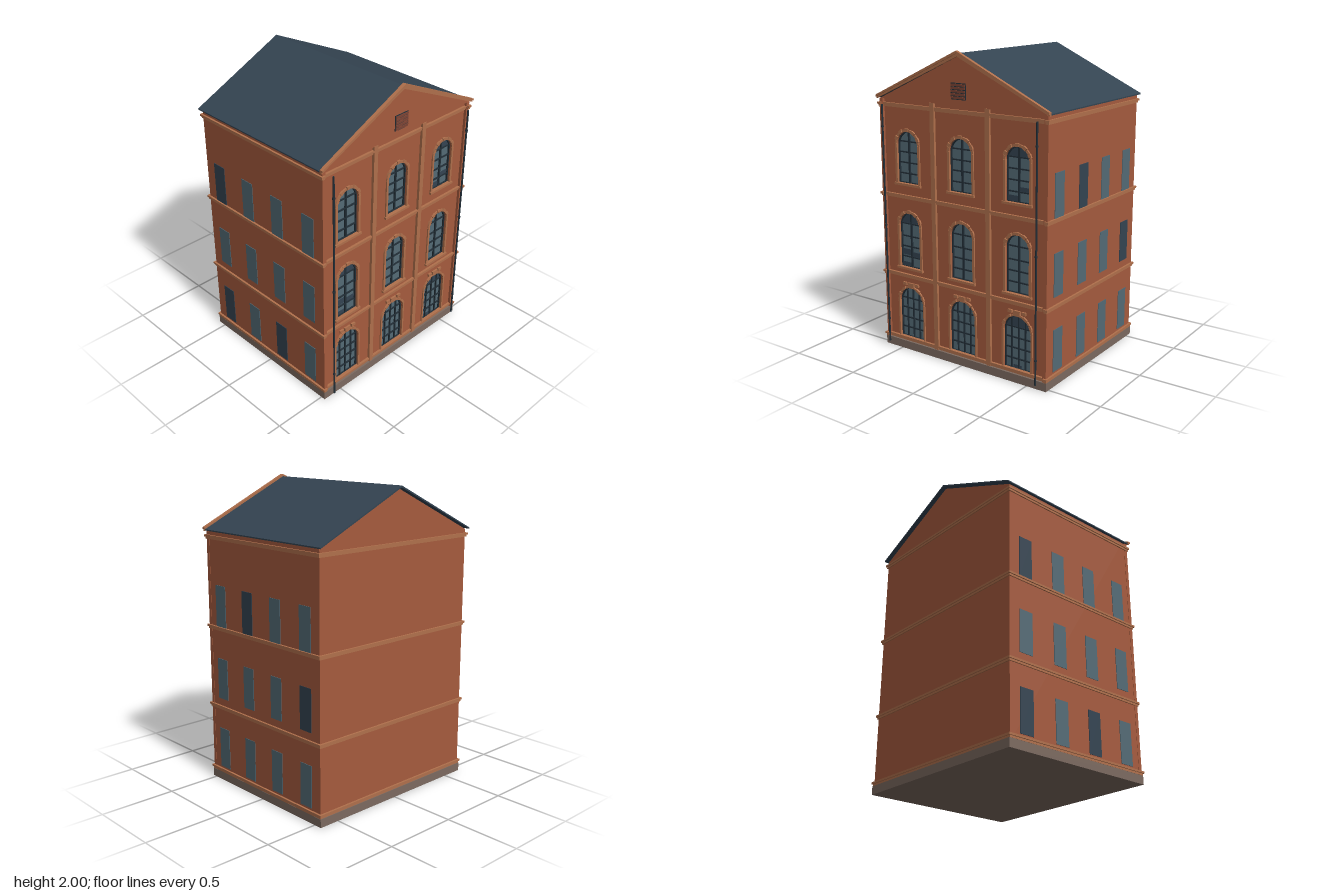
import * as THREE from 'three';

const mat = (name, color, side = THREE.FrontSide) => {
  const m = new THREE.MeshStandardMaterial({ color, side });
  m.name = name;
  return m;
};

export function createModel() {
  const brick = mat('brick', 0xa65b3e);
  const trim = mat('trim', 0xb0704c);
  const stone = mat('foundation stone', 0x7c6a60);
  const slate = mat('roof slate', 0x344452);
  const glass = mat('glass', 0x546b76);
  const darkGlass = mat('dark glass', 0x344452);
  const iron = mat('dark iron', 0x232f38);
  const ventRed = mat('vent', 0x7d4434);

  const model = new THREE.Group();
  model.name = 'brickBuilding';
  let target = model;

  const add = (name, geo, material) => {
    const m = new THREE.Mesh(geo, material);
    m.name = name;
    target.add(m);
    return m;
  };
  // Box given by its limits on each axis
  const box = (name, material, x0, x1, y0, y1, z0, z1) => {
    const m = add(name, new THREE.BoxGeometry(x1 - x0, y1 - y0, z1 - z0), material);
    m.position.set((x0 + x1) / 2, (y0 + y1) / 2, (z0 + z1) / 2);
    return m;
  };
  const poly = (pts) => new THREE.Shape(pts.map(([x, y]) => new THREE.Vector2(x, y)));
  const slab = (name, material, shape, z0, z1) => {
    const geo = new THREE.ExtrudeGeometry(shape, { depth: z1 - z0, bevelEnabled: false, curveSegments: 16 });
    geo.translate(0, 0, z0);
    return add(name, geo, material);
  };
  // Round-headed opening outline
  const arch = (cx, r, y0, spring, Type = THREE.Shape) => {
    const s = new Type();
    s.moveTo(cx - r, y0);
    s.lineTo(cx + r, y0);
    s.lineTo(cx + r, spring);
    s.absarc(cx, spring, r, 0, Math.PI, false);
    s.lineTo(cx - r, y0);
    return s;
  };

  // Window rows: half width, sill, arch spring, surround width, columns, transoms
  const rows = [
    { r: 0.1, y0: 0.075, spring: 0.33, edge: 0.012, cols: 4, bars: [0.143, 0.212, 0.281, 0.35] },
    { r: 0.085, y0: 0.57, spring: 0.855, edge: 0.016, cols: 2, bars: [0.64, 0.71, 0.78, 0.865] },
    { r: 0.085, y0: 1.135, spring: 1.388, edge: 0.016, cols: 2, bars: [1.2, 1.27, 1.338, 1.407] },
  ];
  const columns = [-0.425, 0, 0.42];
  const WALL = 0.508;

  // Foundation and main brick mass
  box('foundation', stone, -0.642, 0.642, 0, 0.055, -0.555, 0.53);
  slab('mainWalls', brick, poly([[-0.635, 0.03], [0.635, 0.03], [0.635, 1.672], [0, 1.967], [-0.635, 1.672]]), -0.545, 0.48);

  // Front wall with arched openings
  const front = poly([[-0.635, 0.03], [0.635, 0.03], [0.635, 1.672], [-0.635, 1.672]]);
  for (const w of rows) for (const cx of columns) front.holes.push(arch(cx, w.r, w.y0, w.spring, THREE.Path));
  slab('frontWall', brick, front, 0.48, WALL);
  slab('frontGable', brick, poly([[-0.635, 1.672], [0.635, 1.672], [0, 1.967]]), 0.48, 0.522);

  // Pilasters
  for (const s of [-1, 1]) {
    const c = s * 0.624, m = s * 0.21;
    box('cornerPilaster', brick, c - 0.013, c + 0.013, 0.055, 1.675, 0.5, 0.525);
    box('middlePilaster', trim, m - 0.016, m + 0.016, 0.055, 1.675, 0.5, 0.525);
  }

  // Stepped string courses around the building
  for (const y of [0.07, 0.515, 1.05, 1.637]) {
    for (const [dy, h, out] of [[0.005, 0.013, 0.0135], [-0.008, 0.013, 0.007]]) {
      const a = y + dy - h / 2, b = y + dy + h / 2;
      box('frontStringCourse', trim, -0.612, 0.612, a, b, 0.49, 0.51 + out);
      box('backStringCourse', trim, -0.635 - out, 0.635 + out, a, b, -0.545 - out, -0.53);
      for (const s of [-1, 1]) {
        const inner = s * 0.62, outer = s * (0.635 + out);
        box('sideStringCourse', trim, Math.min(inner, outer), Math.max(inner, outer), a, b, -0.54, 0.523 + out);
      }
    }
  }

  // Roof and front raking cornice
  const chevron = (hw, eave, ridge, t) => poly([[-hw, eave], [-hw, eave - t], [0, ridge - t * 1.4], [hw, eave - t], [hw, eave], [0, ridge]]);
  slab('roof', slate, chevron(0.65, 1.682, 1.985, 0.008), -0.57, 0.53);
  slab('rakingCornice', trim, chevron(0.653, 1.694, 2.0, 0.024), 0.522, 0.536);
  slab('rakingCorniceLip', trim, chevron(0.653, 1.694, 2.0, 0.012), 0.536, 0.545);

  // Arched front windows
  const addWindow = (w, row, col) => {
    const { r, y0, spring, edge, bars } = w, cx = columns[col];
    target = new THREE.Group();
    target.name = 'archedWindow';
    model.add(target);
    slab('windowGlass', glass, arch(cx, r, y0, spring), 0.481, 0.488);
    const frame = arch(cx, r, y0, spring);
    frame.holes.push(arch(cx, r - 0.007, y0 + 0.007, spring, THREE.Path));
    slab('windowFrame', iron, frame, 0.485, 0.5);
    // Glazing bars reach up to the curve of the arch
    for (let i = 1; i < w.cols; i++) {
      const x = -r + (2 * r * i) / w.cols;
      const t = w.cols === 2 ? 0.006 : 0.004;
      box('glazingBar', iron, cx + x - t, cx + x + t, y0, spring + Math.sqrt(r * r - x * x) - 0.003, 0.486, 0.498);
    }
    for (const y of bars) {
      const hw = y > spring ? Math.sqrt(r * r - (y - spring) ** 2) : r;
      box('transom', iron, cx - hw, cx + hw, y - 0.004, y + 0.004, 0.486, 0.497);
    }
    // Dark panes on one window in each row
    if (row + col === (row === 1 ? 1 : row === 0 ? 2 : 4)) {
      const head = new THREE.Shape();
      const a = Math.asin((bars[3] - spring) / r);
      head.absarc(cx, spring, r - 0.003, a, Math.PI - a, false);
      slab('darkFanlight', darkGlass, head, 0.486, 0.491);
      const panes = row === 0 ? [[-0.04, 0.02, 0.075, 0.1]]
        : row === 1 ? [[-r, 0, 0.575, 0.6], [-r, 0, 0.65, 0.69], [0, r, 0.645, 0.675]]
          : [[-r, 0, 1.14, 1.175], [0, r, 1.195, 1.23]];
      for (const [x0, x1, a0, a1] of panes) box('darkPane', darkGlass, cx + x0, cx + x1, a0, a1, 0.486, 0.491);
    }
    // Jambs, voussoirs and sill
    for (const s of [-1, 1]) {
      const x = cx + s * (r + edge / 2);
      box('jamb', trim, x - edge / 2, x + edge / 2, y0, spring, 0.5, 0.517);
    }
    const n = 11;
    for (let i = 0; i < n; i++) {
      const a0 = (Math.PI * i) / n + 0.012, a1 = (Math.PI * (i + 1)) / n - 0.012;
      const out = r + edge + (i % 2 ? 0.004 : 0);
      const v = new THREE.Shape();
      v.absarc(cx, spring, out, a0, a1, false);
      v.absarc(cx, spring, r, a1, a0, true);
      slab('voussoir', trim, v, 0.5, i % 2 ? 0.52 : 0.517);
    }
    if (row > 0) box('sill', trim, cx - r - 0.022, cx + r + 0.022, y0 - 0.012, y0 + 0.003, 0.49, 0.525);
    else for (const [x0, x1, a0] of [[-0.065, -0.035, 0.447], [-0.024, 0.024, 0.437], [0.035, 0.065, 0.447]])
      box('keystone', trim, cx + x0, cx + x1, a0, 0.466, 0.5, 0.52);
    target = model;
  };
  rows.forEach((w, row) => columns.forEach((_, col) => addWindow(w, row, col)));

  // Flat side windows, some of them dark
  const sideZ = [0.395, 0.122, -0.148, -0.42];
  const dark = { '1': ['2,1', '1,3'], '-1': ['2,3', '0,3', '0,1'] };
  for (const s of [-1, 1])
    [0.095, 0.575, 1.06].forEach((y, row) => sideZ.forEach((z, i) => {
      const m = dark[s].includes(`${row},${i}`) ? darkGlass : glass;
      const x = s * 0.6355;
      box('sideWindow', m, x - 0.003, x + 0.003, y, y + 0.272, z - 0.05, z + 0.05);
    }));

  // Louvred gable vent
  box('ventFrame', iron, -0.056, 0.056, 1.71, 1.81, 0.515, 0.525);
  for (let i = 0; i < 5; i++) {
    const y = 1.722 + i * 0.019;
    box('ventSlat', ventRed, -0.052, 0.052, y - 0.007, y + 0.007, 0.52, 0.53);
  }

  // Downpipes with collars
  for (const s of [-1, 1]) {
    const pipe = add('downpipe', new THREE.CylinderGeometry(0.006, 0.006, 1.6, 10), iron);
    pipe.position.set(s * 0.585, 0.84, 0.56);
    for (const y of [0.2, 0.85, 1.5]) {
      const collar = add('pipeCollar', new THREE.CylinderGeometry(0.009, 0.009, 0.01, 10), iron);
      collar.position.set(s * 0.585, y, 0.56);
    }
  }
  return model;
}
